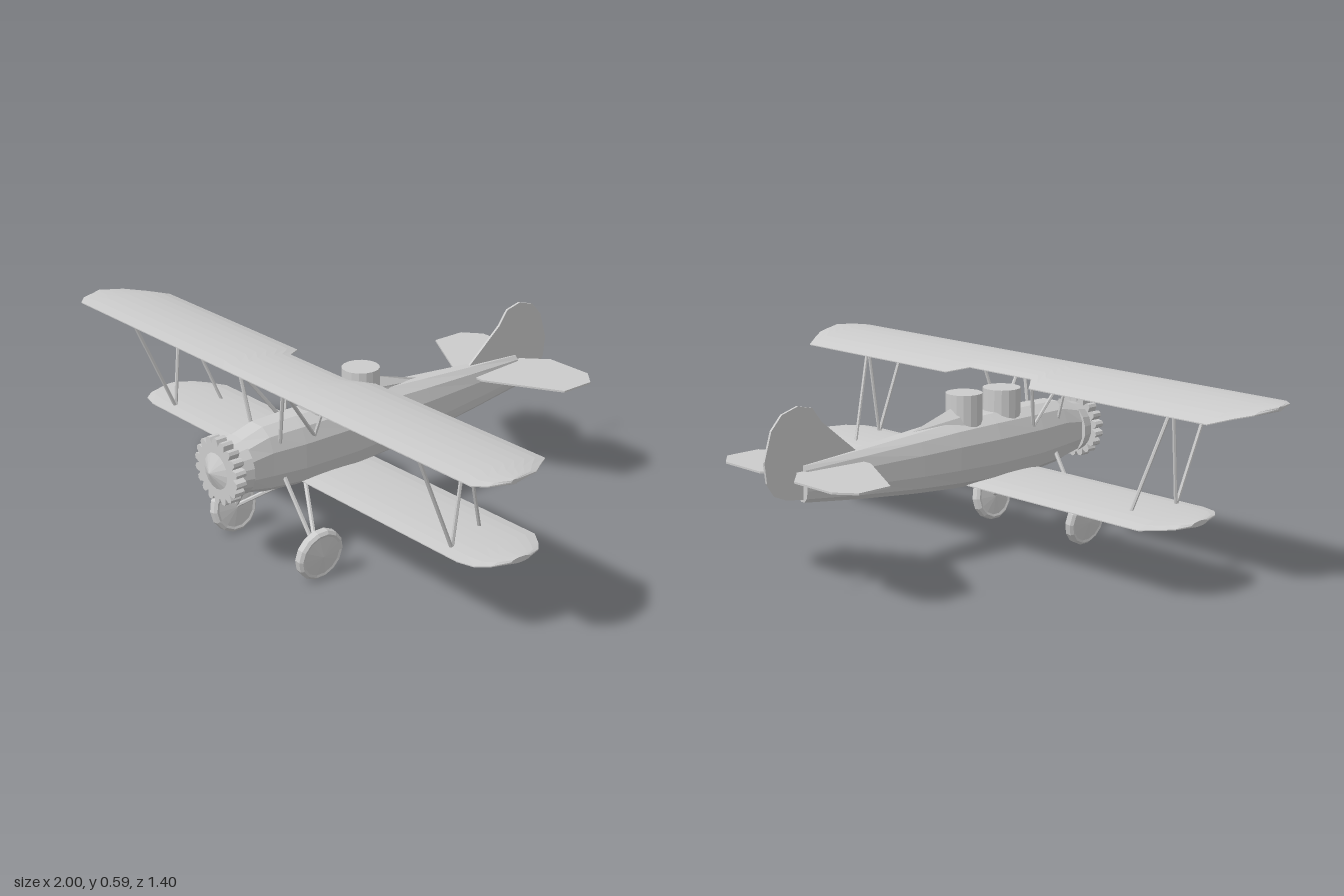
import * as THREE from 'three';

const material = new THREE.MeshStandardMaterial({ color: 0xcccccc, flatShading: true, side: THREE.DoubleSide });
const V = (x, y, z) => new THREE.Vector3(x, y, z);

function add(parent, name, geometry, x = 0, y = 0, z = 0) {
  const mesh = new THREE.Mesh(geometry, material);
  mesh.name = name;
  mesh.position.set(x, y, z);
  parent.add(mesh);
  return mesh;
}

// Skin a row of equal-length closed rings and cap both ends.
function loft(rings) {
  const n = rings[0].length, index = [];
  for (let k = 0; k < rings.length - 1; k++) {
    for (let j = 0; j < n; j++) {
      const a = k * n + j, b = k * n + (j + 1) % n;
      index.push(a, b, b + n, a, b + n, a + n);
    }
  }
  const last = (rings.length - 1) * n;
  for (let j = 1; j < n - 1; j++) {
    index.push(0, j + 1, j, last, last + j, last + j + 1);
  }
  const g = new THREE.BufferGeometry().setFromPoints(rings.flat());
  g.setIndex(index);
  g.computeVertexNormals();
  return g;
}

// Cambered wing from half-span stations [x, zFront, zRear].
function wing(stations, camber, half) {
  const mirrored = stations.slice(1).reverse().map(([x, f, r]) => [-x, f, r]);
  const steps = 8;
  return loft([...mirrored, ...stations].map(([x, front, rear]) => {
    const top = [], bottom = [];
    for (let i = 0; i <= steps; i++) {
      const t = i / steps;
      const z = rear + (front - rear) * t;
      const h = 0.0015 + half * Math.sqrt(Math.max(0, Math.sin(Math.PI * t)));
      top.push(V(x, camber(z) + h, z));
      bottom.unshift(V(x, camber(z) - h, z));
    }
    return [...top, ...bottom];
  }));
}

function strut(parent, name, a, b, r = 0.006) {
  const dir = b.clone().sub(a);
  const m = add(parent, name, new THREE.CylinderGeometry(r, r, dir.length(), 6));
  m.position.copy(a).add(b).multiplyScalar(0.5);
  m.quaternion.setFromUnitVectors(V(0, 1, 0), dir.normalize());
}

function plate(points, thickness) {
  const shape = new THREE.Shape(points.map(p => new THREE.Vector2(...p)));
  return new THREE.ExtrudeGeometry(shape, { depth: thickness, bevelEnabled: false });
}

export function createModel() {
  const model = new THREE.Group();
  model.name = 'biplane';

  // Fuselage: [z, half width, bottom, top]
  const sections = [
    [-0.555, 0.024, 0.295, 0.408], [-0.34, 0.044, 0.268, 0.422], [-0.12, 0.066, 0.246, 0.438],
    [0.03, 0.078, 0.235, 0.449], [0.2, 0.086, 0.226, 0.455], [0.4, 0.086, 0.23, 0.455],
    [0.52, 0.08, 0.242, 0.453], [0.6, 0.078, 0.263, 0.43],
  ];
  add(model, 'fuselage', loft(sections.map(([z, w, lo, hi]) =>
    Array.from({ length: 12 }, (_, i) => {
      const a = (i + 0.5) / 12 * Math.PI * 2, c = Math.cos(a), s = Math.sin(a);
      const square = v => Math.sign(v) * Math.pow(Math.abs(v), 0.8);
      return V(square(c) * w * 1.03, (lo + hi) / 2 + square(s) * (hi - lo) / 2 * 1.03, z);
    }))));

  // Engine: cowl ring, toothed cylinder ring, nose cone
  const cowl = new THREE.CylinderGeometry(0.083, 0.093, 0.045, 18).rotateX(Math.PI / 2);
  add(model, 'cowl', cowl, 0, 0.345, 0.62);
  const teeth = [];
  for (let i = 0; i < 18; i++) {
    [[-0.5, 0.086], [-0.27, 0.103], [0, 0.107], [0.27, 0.103]].forEach(([o, r]) => {
      const a = (i + o) / 18 * Math.PI * 2;
      teeth.push([r * Math.sin(a), r * Math.cos(a)]);
    });
  }
  add(model, 'engineCylinders', plate(teeth, 0.036), 0, 0.345, 0.638);
  add(model, 'noseCone', new THREE.ConeGeometry(0.062, 0.028, 16).rotateX(Math.PI / 2), 0, 0.345, 0.686);

  // Cockpit drums and the fairing behind the rear one
  add(model, 'frontCockpit', new THREE.CylinderGeometry(0.063, 0.063, 0.11, 16), 0, 0.473, 0.287);
  add(model, 'rearCockpit', new THREE.CylinderGeometry(0.06, 0.06, 0.115, 16), 0, 0.477, 0.115);
  add(model, 'headFairing', loft([[-0.115, 0.004, 0.438], [0.09, 0.055, 0.5]].map(([z, w, top]) =>
    [[1, 0.42], [0.7, 0.42 + (top - 0.42) * 0.6], [0, top], [-0.7, 0.42 + (top - 0.42) * 0.6], [-1, 0.42]]
      .map(([x, y]) => V(x * w, y, z)))));

  // Wings
  add(model, 'upperWing', wing([
    [0, 0.535, 0.28], [0.14, 0.535, 0.28], [0.19, 0.535, 0.215], [0.9, 0.535, 0.215],
    [0.945, 0.535, 0.28], [0.98, 0.505, 0.33], [1, 0.44, 0.42],
  ], z => {
    const u = (0.535 - z) / 0.32;
    return 0.59 + 0.018 * u - 0.048 * u * u;
  }, 0.006));
  add(model, 'lowerWing', wing([
    [0, 0.4, 0.095], [0.755, 0.4, 0.095], [0.81, 0.385, 0.135], [0.84, 0.35, 0.165], [0.858, 0.29, 0.215],
  ], z => {
    const u = (0.4 - z) / 0.305;
    return 0.25 + 0.008 * u - 0.022 * u * u;
  }, 0.007));

  // Tail
  const rudder = plate([
    [-0.34, 0.415], [-0.48, 0.53], [-0.515, 0.577], [-0.57, 0.59], [-0.63, 0.573], [-0.67, 0.53],
    [-0.698, 0.44], [-0.69, 0.375], [-0.66, 0.33], [-0.62, 0.313], [-0.555, 0.303], [-0.5, 0.38],
  ], 0.008).rotateY(-Math.PI / 2);
  add(model, 'rudder', rudder, 0.004);
  const half = [[0.07, -0.345], [0.31, -0.48], [0.31, -0.6], [0.25, -0.65], [0.08, -0.65], [0.006, -0.58]];
  const tail = [...half, ...half.slice().reverse().map(([x, z]) => [-x, z])];
  add(model, 'tailplane', plate(tail, 0.006).rotateX(Math.PI / 2), 0, 0.391, 0);

  for (const s of [1, -1]) {
    const side = new THREE.Group();
    side.name = s > 0 ? 'leftSide' : 'rightSide';
    model.add(side);
    const P = (x, y, z) => V(s * x, y, z);

    // N-shaped struts between the wings
    const topFront = P(0.695, 0.59, 0.5), topRear = P(0.695, 0.575, 0.315);
    const lowFront = P(0.685, 0.25, 0.355), lowRear = P(0.635, 0.245, 0.2);
    strut(side, 'wingStrutFront', topFront, lowFront);
    strut(side, 'wingStrutDiagonal', topRear, lowFront);
    strut(side, 'wingStrutRear', topRear, lowRear);

    // Struts from fuselage to upper wing
    strut(side, 'cabaneStrutFront', P(0.108, 0.59, 0.5), P(0.065, 0.385, 0.485));
    strut(side, 'cabaneStrutDiagonal', P(0.108, 0.59, 0.5), P(0.075, 0.395, 0.36));
    strut(side, 'cabaneStrutRear', P(0.108, 0.575, 0.315), P(0.075, 0.395, 0.36));

    // Landing gear
    strut(side, 'gearLegFront', P(0.205, 0.09, 0.463), P(0.065, 0.3, 0.475), 0.007);
    strut(side, 'gearLegRear', P(0.205, 0.09, 0.463), P(0.0, 0.238, 0.345), 0.007);
    const wheel = new THREE.Group();
    wheel.name = 'wheel';
    wheel.position.set(s * 0.218, 0.086, 0.463);
    wheel.rotation.z = -s * 0.13;
    side.add(wheel);
    const profile = [[0, -0.024], [0.066, -0.016], [0.074, -0.018], [0.083, -0.01],
      [0.083, 0.01], [0.074, 0.018], [0.066, 0.016], [0, 0.024]];
    const tyre = new THREE.LatheGeometry(profile.map(p => new THREE.Vector2(...p)), 14);
    add(wheel, 'tyreAndHub', tyre.rotateZ(Math.PI / 2));
  }
  return model;
}
